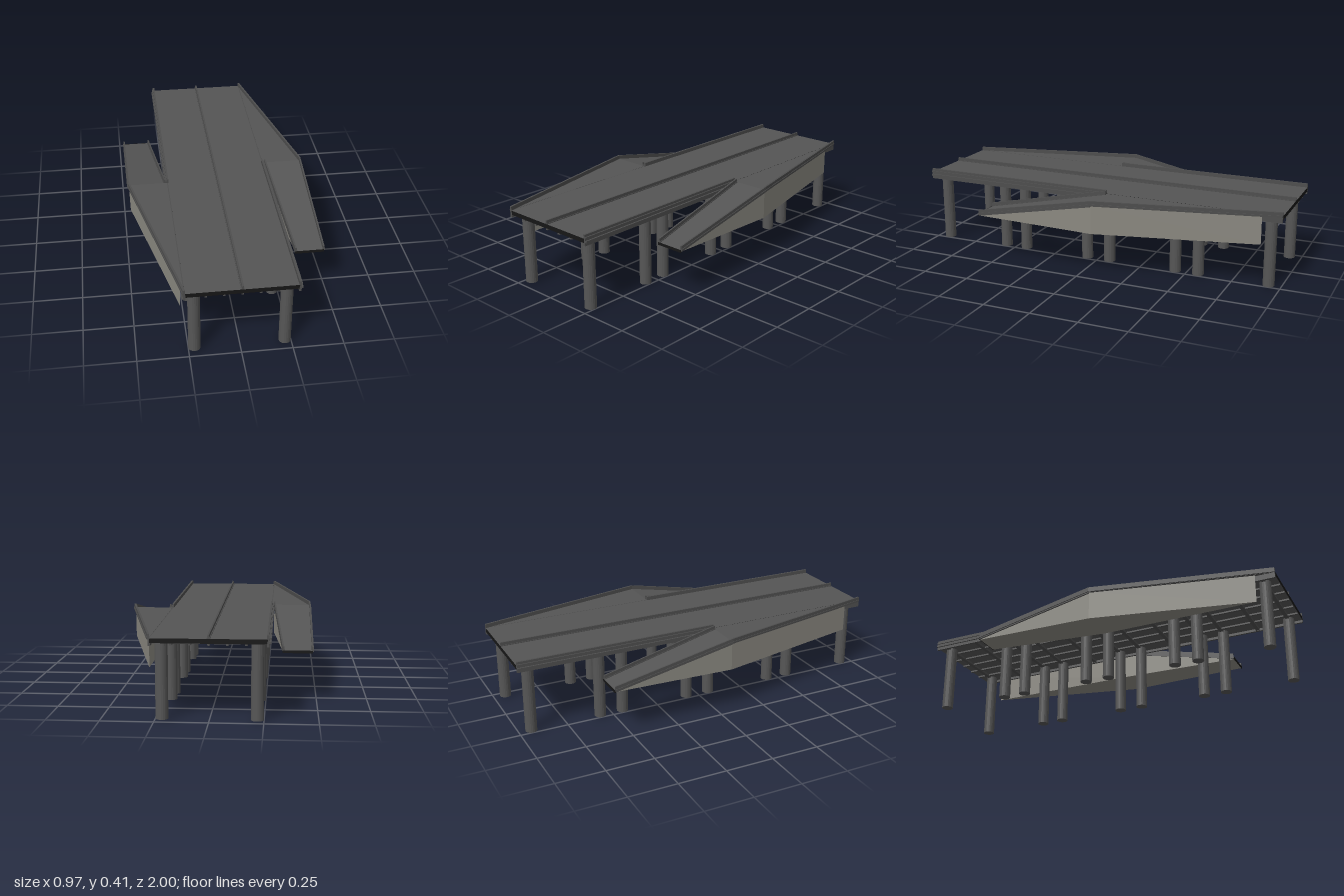
import * as THREE from 'three';

const material = (name, color) => {
  const m = new THREE.MeshStandardMaterial({ color, flatShading: true });
  m.name = name;
  return m;
};

export function createModel() {
  const asphalt = material('asphalt', 0x555555);
  const black = material('black end', 0x161616);
  const rail = material('barrier', 0x4e4e4e);
  const concrete = material('concrete', 0x8b8981);
  const pillar = material('pillar', 0x565656);
  const model = new THREE.Group();
  model.name = 'overpass';

  function box(parent, name, mat, x0, x1, y0, y1, z0, z1) {
    const m = new THREE.Mesh(new THREE.BoxGeometry(x1 - x0, y1 - y0, z1 - z0), mat);
    m.position.set((x0 + x1) / 2, (y0 + y1) / 2, (z0 + z1) / 2);
    m.name = name;
    parent.add(m);
  }

  // Prism over an (x, z) footprint, with bottom and top heights that vary along z
  function prism(parent, name, mat, footprint, bottom, top) {
    const shape = new THREE.Shape(footprint.map(([x, z]) => new THREE.Vector2(x, -z)));
    const g = new THREE.ExtrudeGeometry(shape, { depth: 1, bevelEnabled: false });
    g.rotateX(-Math.PI / 2);
    const p = g.attributes.position;
    for (let i = 0; i < p.count; i++) {
      const z = p.getZ(i);
      p.setY(i, p.getY(i) > 0.5 ? top(z) : bottom(z));
    }
    g.computeVertexNormals();
    const m = new THREE.Mesh(g, mat);
    m.name = name;
    parent.add(m);
  }

  const startZ = -0.07, endZ = 0.58;
  const rampT = z => THREE.MathUtils.clamp((z - startZ) / (endZ - startZ), 0, 1);
  const road = z => THREE.MathUtils.lerp(0.386, 0.256, rampT(z));
  const foot = z => THREE.MathUtils.lerp(0.23, 0.243, rampT(z));
  const above = d => z => road(z) + d;

  // Main deck: road slab with black ends
  prism(model, 'deck', [asphalt, black],
    [[-0.265, -1], [0.265, -1], [0.265, 1], [-0.265, 1]], () => 0.364, () => 0.386);

  // Girders and cross beams under the deck
  const beams = new THREE.Group();
  beams.name = 'underDeckBeams';
  model.add(beams);
  for (const x of [-0.17, -0.085, 0, 0.085, 0.17])
    box(beams, 'girder', rail, x - 0.006, x + 0.006, 0.355, 0.365, -0.998, 0.998);
  const pillarZ = [0.065, 0.438, 0.563, 0.935].flatMap(z => [z, -z]);
  for (const z of [...pillarZ, -0.75, -0.25, 0.25, 0.75])
    box(beams, 'crossBeam', rail, -0.263, 0.263, 0.352, 0.365, z - 0.01, z + 0.01);

  // Pillars in two rows
  const pillarGeo = new THREE.CylinderGeometry(0.03, 0.03, 0.36, 20);
  for (const z of pillarZ)
    for (const x of [-0.22, 0.22]) {
      const m = new THREE.Mesh(pillarGeo, pillar);
      m.position.set(x, 0.18, z);
      m.name = 'pillar';
      model.add(m);
    }

  // Median barrier
  box(model, 'medianBase', rail, -0.008, 0.008, 0.385, 0.39, -1, 1);
  box(model, 'medianWall', rail, -0.004, 0.004, 0.389, 0.405, -1, 1);

  // Widening lane with exit ramp, repeated on the other side by half a turn
  for (const turn of [0, Math.PI]) {
    const side = new THREE.Group();
    side.name = turn ? 'rightSide' : 'leftSide';
    side.rotation.y = turn;
    model.add(side);

    // Supporting body under the wing and the ramp
    prism(side, 'wingBody', concrete,
      [[0.28, -0.9], [0.47, startZ], [0.28, startZ]], foot, above(-0.005));
    prism(side, 'rampBody', concrete,
      [[0.28, startZ], [0.47, startZ], [0.47, endZ], [0.335, endZ]], foot, above(-0.011));

    // Road plates and the ramp's black end
    prism(side, 'wingRoad', [asphalt, rail],
      [[0.27, -1], [0.478, startZ], [0.27, startZ]], above(-0.007), above(0));
    prism(side, 'rampRoad', [asphalt, rail],
      [[0.278, startZ], [0.478, startZ], [0.478, endZ], [0.33, endZ]], above(-0.012), above(0));
    box(side, 'rampEnd', black, 0.33, 0.478, 0.243, 0.256, endZ - 0.002, endZ + 0.003);

    // Barriers along the outer edge and the ramp's inner edge
    const barrier = (name, x0, z0, x1, z1, w) => {
      const strip = (a, b) => [[x0 + a, z0], [x1 + a, z1], [x1 + b, z1], [x0 + b, z0]];
      prism(side, name, rail, strip(-w, 0.002), above(-0.004), above(0.02));
      prism(side, name + 'Ledge', rail, strip(-0.002, 0.005), above(-0.006), above(0.004));
    };
    barrier('wingBarrier', 0.272, -1, 0.478, startZ, 0.008);
    barrier('rampOuterBarrier', 0.478, startZ, 0.478, endZ, 0.006);
    barrier('rampInnerBarrier', 0.284, startZ, 0.336, endZ, 0.006);

    // Barrier, ledge and beam along the straight deck edge
    box(side, 'edgeBarrier', rail, 0.262, 0.272, 0.385, 0.406, startZ, 1);
    box(side, 'edgeLedge', rail, 0.27, 0.281, 0.366, 0.376, startZ, 1);
    box(side, 'edgeCap', rail, 0.268, 0.278, 0.386, 0.394, startZ, 1);
    box(side, 'edgeBeam', rail, 0.262, 0.273, 0.35, 0.3855, -1, 1);
  }
  return model;
}
